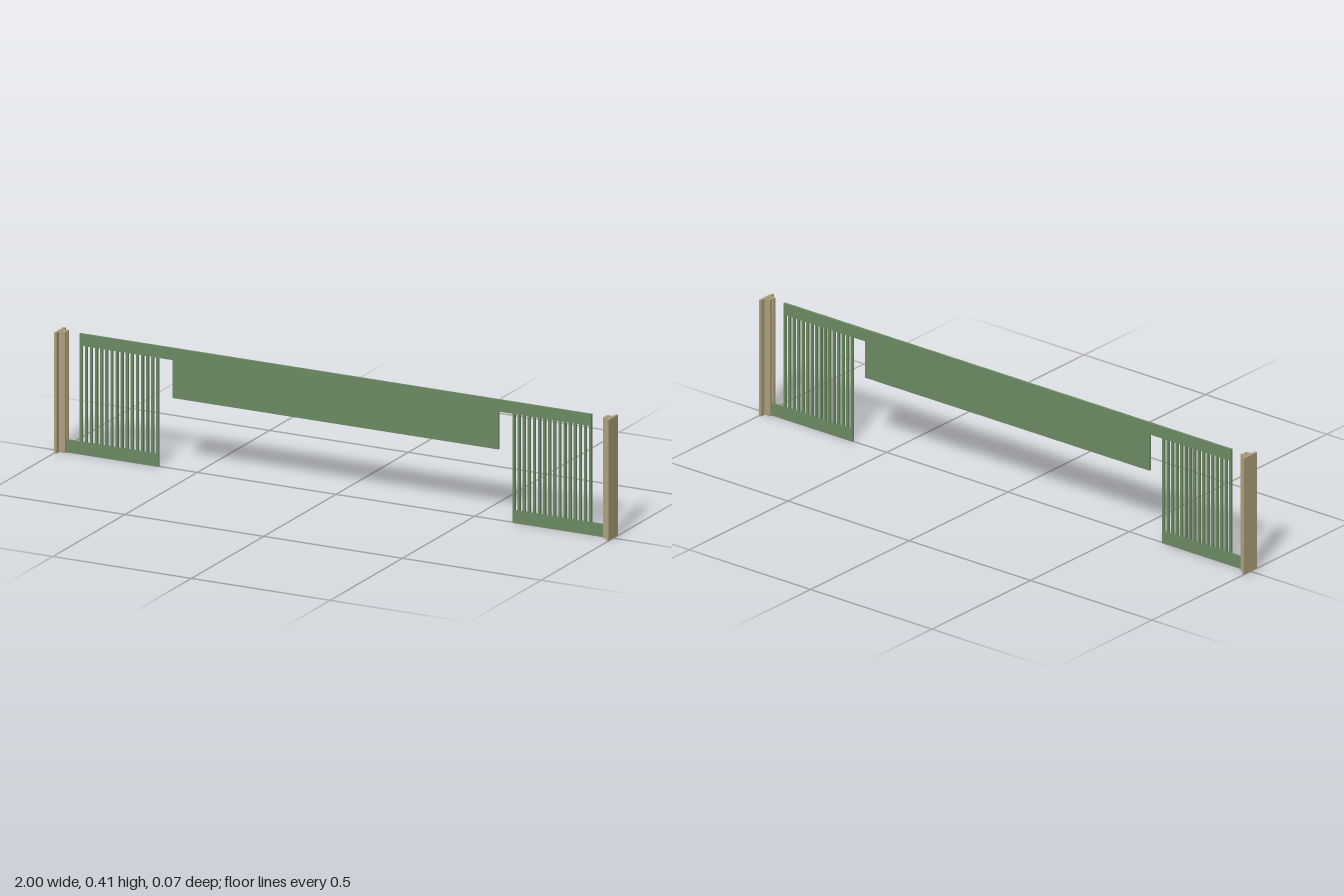
import * as THREE from 'three';

export function createModel() {
  const group = new THREE.Group();
  const green = new THREE.MeshStandardMaterial({ color: 0x6c8a63 });
  green.name = 'green paint';
  const tan = new THREE.MeshStandardMaterial({ color: 0xada07c });
  tan.name = 'tan post';

  // Box given by its limits on x and y, and its depth centred on z
  function addBox(parent, name, material, [x0, x1], [y0, y1], depth, z = 0) {
    const geometry = new THREE.BoxGeometry(x1 - x0, y1 - y0, depth);
    const mesh = new THREE.Mesh(geometry, material);
    mesh.position.set((x0 + x1) / 2, (y0 + y1) / 2, z);
    mesh.name = name;
    parent.add(mesh);
  }

  const height = 0.405;
  const thickness = 0.008;
  const railBottom = 0.365;
  const lowerRailTop = 0.042;

  // Long top rail with the solid centre panel hanging below it
  addBox(group, 'topRail', green, [-0.922, 0.922], [railBottom, height], thickness);
  addBox(group, 'centrePanel', green, [-0.587, 0.587], [0.238, railBottom], thickness);

  // Slatted section and end post, mirrored on both sides
  const slatCount = 16;
  const slatWidth = 0.008;
  const slatStart = 0.638;
  const slatPitch = (0.922 - slatStart - slatWidth) / (slatCount - 1);

  for (const side of [1, -1]) {
    const label = side > 0 ? 'left' : 'right';
    const span = (a, b) => (side > 0 ? [a, b] : [-b, -a]);

    addBox(group, label + 'LowerRail', green, span(slatStart, 0.985), [0, lowerRailTop], thickness);

    const slats = new THREE.Group();
    slats.name = label + 'Slats';
    for (let i = 0; i < slatCount; i++) {
      const x = slatStart + i * slatPitch;
      addBox(slats, 'slat', green, span(x, x + slatWidth), [lowerRailTop, railBottom], thickness);
    }
    group.add(slats);

    // Wall plate with two lips that form a slot for the lower rail
    const post = new THREE.Group();
    post.name = label + 'Post';
    addBox(post, 'wallPlate', tan, span(0.991, 1), [0, height], 0.067);
    for (const z of [-0.0095, 0.0095]) {
      addBox(post, 'slotLip', tan, span(0.97, 0.991), [0, height], 0.01, z);
    }
    group.add(post);
  }

  return group;
}
